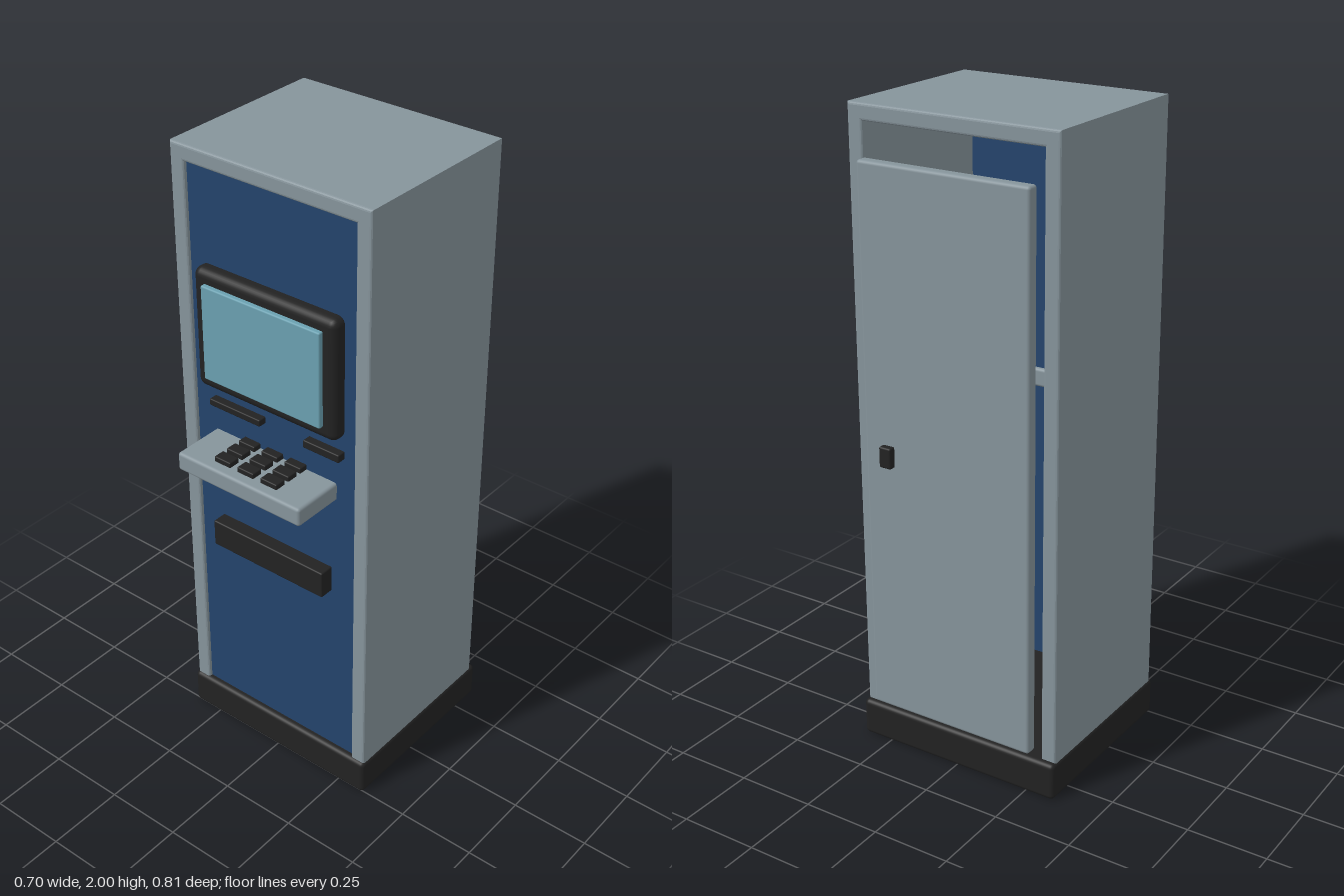
import * as THREE from 'three';
import { RoundedBoxGeometry } from 'three/addons/geometries/RoundedBoxGeometry.js';

const material = (name, color) => {
  const m = new THREE.MeshStandardMaterial({ color });
  m.name = name;
  return m;
};

export function createModel() {
  const group = new THREE.Group();
  const grey = material('cabinet grey', 0x86949b);
  const blue = material('panel blue', 0x24446c);
  const black = material('trim black', 0x222222);
  const glass = material('screen glass', 0x6aa0b0);

  // Rounded block given by its limits on each axis
  const block = (name, mat, [x0, x1], [y0, y1], [z0, z1], radius) => {
    const geo = new RoundedBoxGeometry(x1 - x0, y1 - y0, z1 - z0, 3, radius);
    const mesh = new THREE.Mesh(geo, mat);
    mesh.position.set((x0 + x1) / 2, (y0 + y1) / 2, (z0 + z1) / 2);
    mesh.name = name;
    group.add(mesh);
    return mesh;
  };

  // Base plinth
  block('base', black, [-0.35, 0.35], [0, 0.12], [-0.345, 0.26], 0.015);

  // Hollow cabinet: two sides and a top, open at the back
  const b = 0.008;
  const xo = 0.345 - b, xi = 0.295 + b, yTop = 2 - b, yIn = 1.95 + b;
  const arch = new THREE.Shape([
    [-xo, 0.07], [-xi, 0.07], [-xi, yIn], [xi, yIn],
    [xi, 0.07], [xo, 0.07], [xo, yTop], [-xo, yTop],
  ].map(([x, y]) => new THREE.Vector2(x, y)));
  const shellGeo = new THREE.ExtrudeGeometry(arch, {
    depth: 0.575 - 2 * b, bevelEnabled: true, bevelSize: b, bevelThickness: b, bevelSegments: 3,
  });
  shellGeo.translate(0, 0, -0.325 + b);
  const shell = new THREE.Mesh(shellGeo, grey);
  shell.name = 'cabinetShell';
  group.add(shell);

  // Front panel set slightly back in the frame
  block('frontPanel', blue, [-0.298, 0.298], [0.1, 1.953], [0.208, 0.238], 0.003);

  // Monitor
  block('screenBezel', black, [-0.255, 0.253], [1.28, 1.662], [0.22, 0.28], 0.025);
  block('screen', glass, [-0.212, 0.21], [1.322, 1.622], [0.265, 0.295], 0.005);

  // Card and receipt slots
  block('cardSlot', black, [0.125, 0.253], [1.212, 1.238], [0.225, 0.265], 0.004);
  block('receiptSlot', black, [-0.225, -0.034], [1.214, 1.236], [0.225, 0.265], 0.004);

  // Keypad shelf with three rows of keys
  block('keypadShelf', grey, [-0.228, 0.226], [1.06, 1.12], [0.195, 0.405], 0.01);
  for (const z of [0.247, 0.299, 0.351]) {
    for (const x of [-0.086, 0, 0.086]) {
      block('key', black, [x - 0.03, x + 0.03], [1.11, 1.136], [z - 0.019, z + 0.019], 0.004);
    }
  }

  // Dispenser
  block('dispenser', black, [-0.212, 0.208], [0.727, 0.815], [0.225, 0.284], 0.005);

  // Rear service door and its latch
  block('rearDoor', grey, [-0.282, 0.282], [0.153, 1.856], [-0.375, -0.335], 0.01);
  block('doorLatch', black, [0.17, 0.211], [0.97, 1.035], [-0.406, -0.381], 0.006);

  return group;
}
